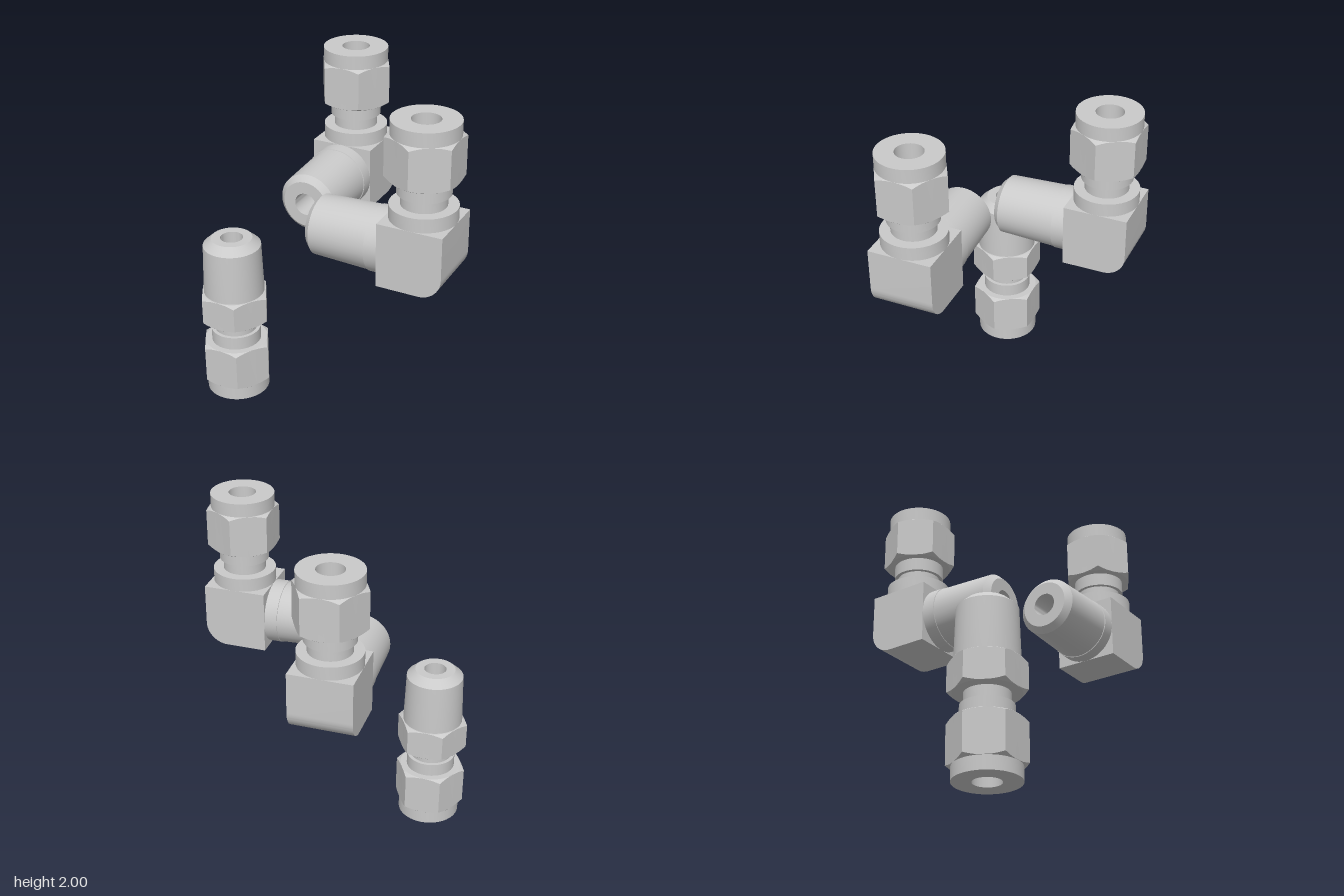
import * as THREE from 'three';
import { toCreasedNormals } from 'three/addons/utils/BufferGeometryUtils.js';

const steel = new THREE.MeshStandardMaterial({ color: 0xcacaca });
steel.name = 'steel';

const HALF = 0.188; // half width across flats, also the collar radius
const BORE = 0.067;
const TUBE_BORE = 0.08;

function addPart(parent, name, geometry) {
  const mesh = new THREE.Mesh(toCreasedNormals(geometry, 0.5), steel);
  mesh.name = name;
  parent.add(mesh);
  return mesh;
}

// Turned body from a profile of [radius, height]; upward runs face outward
function turned(profile) {
  return new THREE.LatheGeometry(profile.map(([r, y]) => new THREE.Vector2(r, y)), 48);
}

// Hexagon with chamfered corners: the outer rings are pushed out to the flats
function hexNut(y0, y1) {
  const geo = turned([[0.1, y0], [HALF, y0], [0.21, y0], [0.21, y1], [HALF, y1], [0.1, y1]]);
  const p = geo.attributes.position;
  const mid = (y0 + y1) / 2;
  for (let i = 0; i < p.count; i++) {
    const x = p.getX(i), y = p.getY(i), z = p.getZ(i);
    if (Math.hypot(x, z) < 0.2) continue;
    const a = Math.atan2(x, z), step = Math.PI / 3;
    const r = HALF / Math.cos(a - Math.round(a / step) * step);
    const drop = Math.max((r - HALF) * 0.58, 0.002);
    p.setXYZ(i, r * Math.sin(a), y < mid ? y + drop : y - drop, r * Math.cos(a));
  }
  return geo;
}

// Inward-facing bore whose two ends are cut by rules of z
function boreSection(upperEnd, lowerEnd) {
  const geo = turned([[BORE, 1], [BORE, 0]]);
  const p = geo.attributes.position;
  for (let i = 0; i < p.count; i++) {
    p.setY(i, p.getY(i) > 0.5 ? upperEnd(p.getZ(i)) : lowerEnd(p.getZ(i)));
  }
  return geo;
}

// Square block with one rounded edge, left open on its top and front
function elbowBlock() {
  const s = new THREE.Shape();
  const r = 0.13;
  s.moveTo(HALF, HALF);
  s.lineTo(-HALF, HALF);
  s.lineTo(-HALF, -HALF + r);
  s.absarc(-HALF + r, -HALF + r, r, Math.PI, Math.PI * 1.5, false);
  s.lineTo(HALF, -HALF);
  s.closePath();
  const geo = new THREE.ExtrudeGeometry(s, { depth: HALF * 2, bevelEnabled: false, curveSegments: 12 });
  geo.translate(0, 0, -HALF);
  geo.rotateY(-Math.PI / 2);
  const p = geo.attributes.position, kept = [];
  for (let i = 0; i < p.count; i += 3) {
    const corners = [i, i + 1, i + 2];
    const open = corners.every(k => p.getY(k) > HALF - 1e-4) || corners.every(k => p.getZ(k) > HALF - 1e-4);
    if (!open) corners.forEach(k => kept.push(p.getX(k), p.getY(k), p.getZ(k)));
  }
  const out = new THREE.BufferGeometry();
  out.setAttribute('position', new THREE.Float32BufferAttribute(kept, 3));
  return out;
}

// Square face with a round opening
function piercedFace() {
  const s = new THREE.Shape();
  s.moveTo(-HALF, -HALF);
  s.lineTo(HALF, -HALF);
  s.lineTo(HALF, HALF);
  s.lineTo(-HALF, HALF);
  s.closePath();
  s.holes.push(new THREE.Path().absarc(0, 0, 0.1, 0, Math.PI * 2, true));
  return new THREE.ShapeGeometry(s, 24);
}

function straightFitting() {
  const g = new THREE.Group();
  g.name = 'straightFitting';
  addPart(g, 'straightBody', turned([
    [TUBE_BORE, 0], [HALF, 0], [HALF, 0.085], [0.148, 0.085], [0.148, 0.415],
    [0.127, 0.415], [0.127, 0.55], [0.181, 0.55], [0.181, 0.67], [0.171, 0.975],
    [0.121, 1.02], [BORE, 1.02], [BORE, 0.3], [TUBE_BORE, 0.3], [TUBE_BORE, 0],
  ]));
  addPart(g, 'compressionNut', hexNut(0.08, 0.335));
  addPart(g, 'bodyHex', hexNut(0.485, 0.67));
  return g;
}

// Elbow centred on the crossing of its bores: tube end up, threaded end to +z
function elbowFitting(name) {
  const g = new THREE.Group();
  g.name = name;
  addPart(g, 'elbowBlock', elbowBlock());
  addPart(g, 'blockTop', piercedFace().rotateX(-Math.PI / 2)).position.y = HALF;
  addPart(g, 'blockFront', piercedFace()).position.z = HALF;

  // Upright tube end
  addPart(g, 'tubeEnd', turned([
    [BORE, HALF], [HALF, HALF], [HALF, 0.268], [0.127, 0.268], [0.127, 0.335],
    [0.148, 0.335], [0.148, 0.662], [HALF, 0.662], [HALF, 0.748],
    [TUBE_BORE, 0.748], [TUBE_BORE, 0.45], [BORE, 0.45], [BORE, HALF],
  ]));
  addPart(g, 'compressionNut', hexNut(0.415, 0.667));

  // Horizontal tapered end
  addPart(g, 'taperedEnd', turned([
    [BORE, HALF], [HALF, HALF], [HALF, 0.265], [0.184, 0.266], [0.172, 0.608],
    [0.138, 0.642], [BORE, 0.642], [BORE, HALF],
  ]).rotateX(Math.PI / 2));

  // Upright bore dropping into a flat-ended level bore
  addPart(g, 'uprightBore', boreSection(() => HALF, z => Math.abs(z)));
  addPart(g, 'levelBoreFront', boreSection(() => HALF, z => Math.max(-z, 0)).rotateX(Math.PI / 2));
  addPart(g, 'levelBoreBack', boreSection(z => Math.min(z, 0), () => -BORE).rotateX(Math.PI / 2));
  addPart(g, 'levelBoreEnd', new THREE.CircleGeometry(BORE, 48)).position.z = -BORE;
  return g;
}

export function createModel() {
  const model = new THREE.Group();
  model.name = 'pipeFittings';

  const straight = straightFitting();
  straight.position.set(-0.592, 0, 0.387);

  const backElbow = elbowFitting('backElbow');
  backElbow.position.set(-0.187, 1.252, -0.42);

  const sideElbow = elbowFitting('sideElbow');
  sideElbow.position.set(0.617, 1.252, 0.387);
  sideElbow.rotation.y = -Math.PI / 2;

  model.add(straight, backElbow, sideElbow);
  return model;
}
